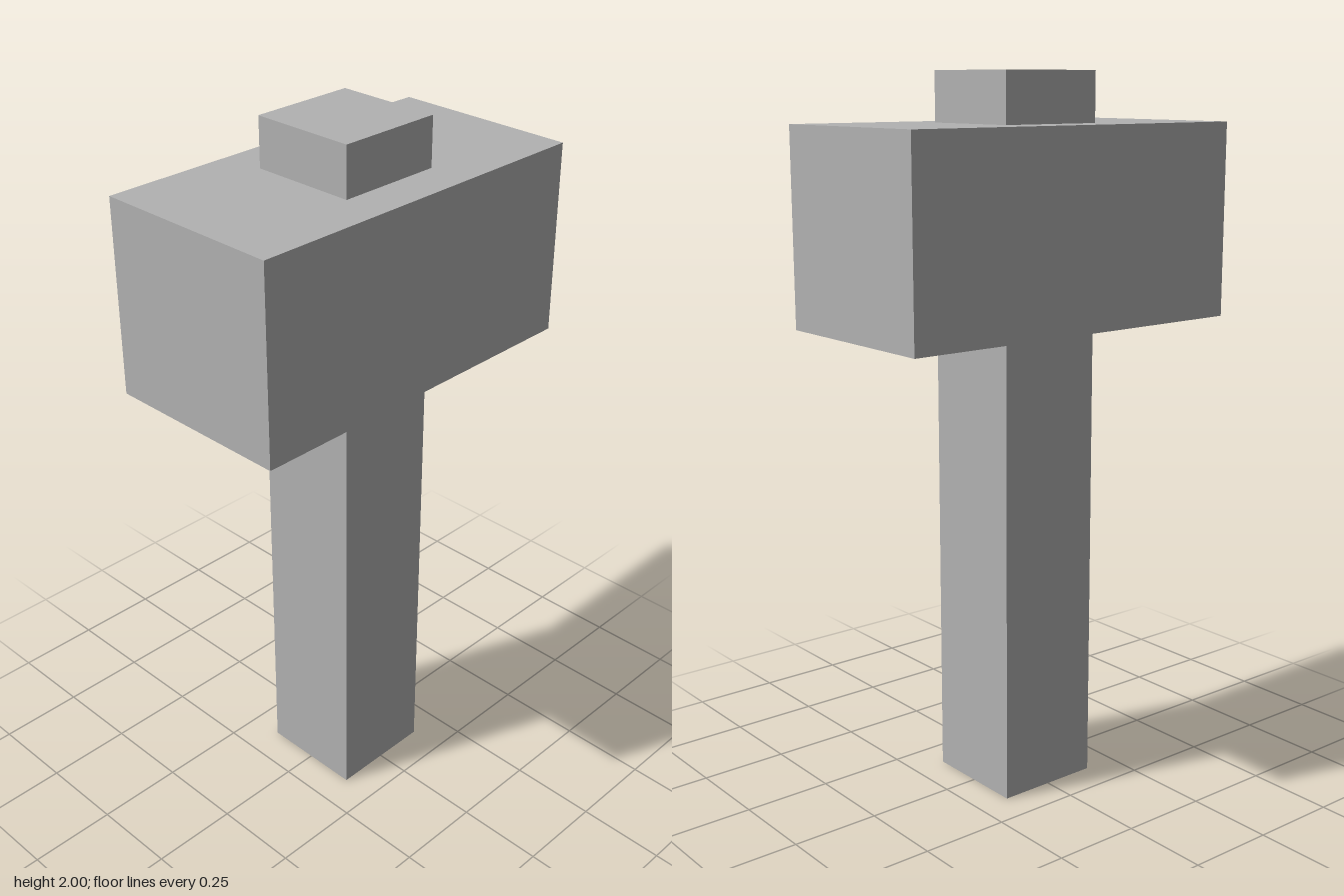
import * as THREE from 'three';

export function createModel() {
  const model = new THREE.Group();
  model.name = 'hammer';

  const grey = new THREE.MeshStandardMaterial({ color: 0xb2b2b2 });
  grey.name = 'grey';

  // Box standing on the given base height
  function addBox(name, width, height, depth, baseY) {
    const mesh = new THREE.Mesh(new THREE.BoxGeometry(width, height, depth), grey);
    mesh.name = name;
    mesh.position.y = baseY + height / 2;
    model.add(mesh);
  }

  // Square handle running right through the head
  addBox('handle', 0.304, 2, 0.304, 0);

  // Block head, long from front to back
  addBox('head', 0.545, 0.54, 1.065, 1.323);

  return model;
}
